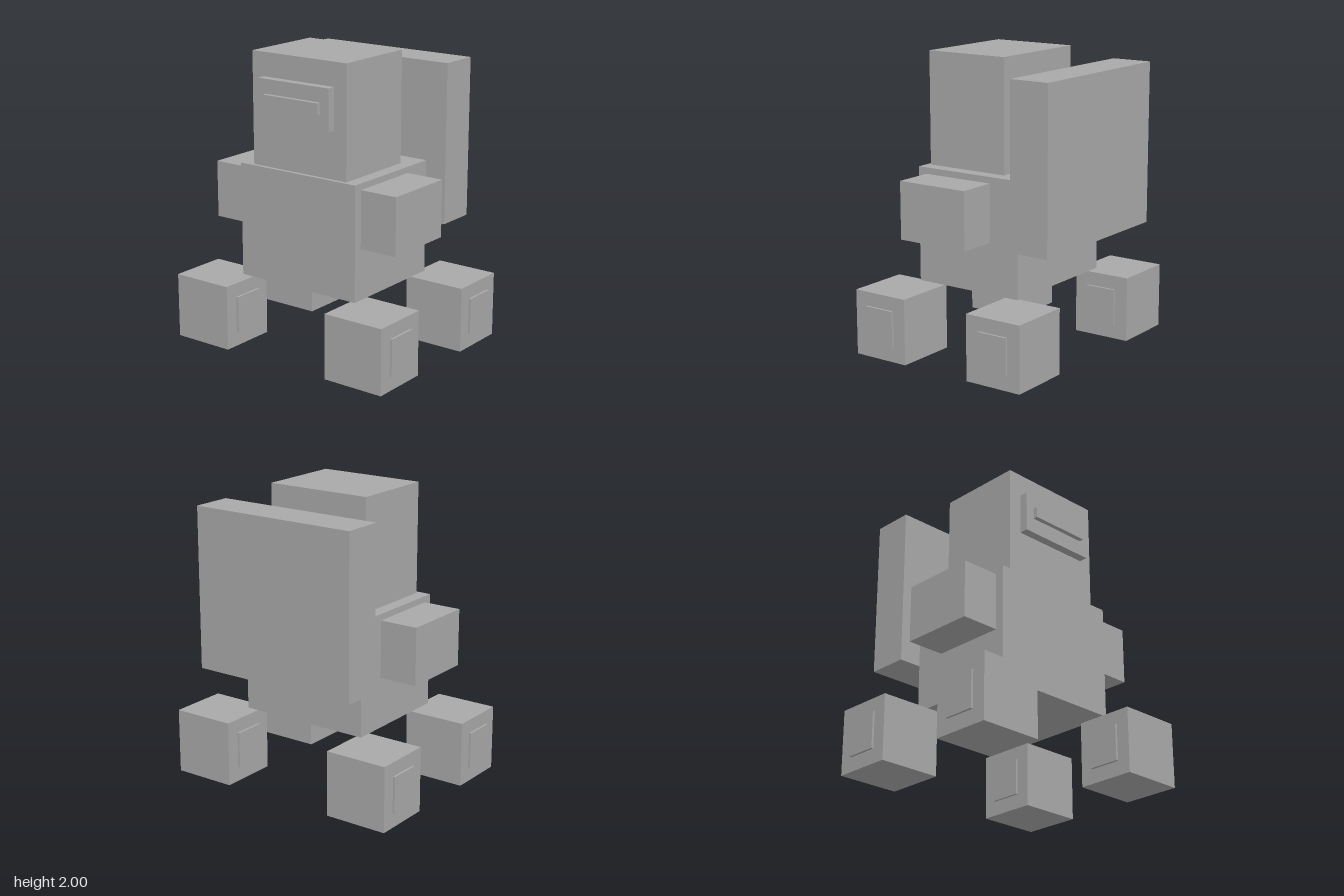
import * as THREE from 'three';

export function createModel() {
  const model = new THREE.Group();
  const grey = new THREE.MeshStandardMaterial({ color: 0xa8a8a8 });
  grey.name = 'grey';

  // Box given by its lower and upper limits on each axis
  function addBox(name, [x0, x1], [y0, y1], [z0, z1]) {
    const mesh = new THREE.Mesh(new THREE.BoxGeometry(x1 - x0, y1 - y0, z1 - z0), grey);
    mesh.position.set((x0 + x1) / 2, (y0 + y1) / 2, (z0 + z1) / 2);
    mesh.name = name;
    model.add(mesh);
  }

  // Limits on x, mirrored for the right side
  const onSide = (side, a, b) => (side > 0 ? [a, b] : [-b, -a]);

  // Torso, head and face
  addBox('torso', [-0.47, 0.47], [0.46, 1.24], [-0.36, 0.438]);
  addBox('head', [-0.38, 0.38], [1.24, 2], [-0.19, 0.41]);
  addBox('visor', [-0.285, 0.285], [1.56, 1.84], [0.41, 0.47]);
  addBox('visorBar', [-0.22, 0.22], [1.667, 1.743], [0.47, 0.502]);

  // Floating back panel
  addBox('backPanel', [-0.6, 0.6], [0.807, 1.905], [-0.677, -0.395]);

  for (const [label, side] of [['left', 1], ['right', -1]]) {
    addBox(label + 'Arm', onSide(side, 0.47, 0.74), [0.807, 1.197], [-0.143, 0.375]);

    // Block wheels with a hub running through each
    for (const [end, z] of [['Front', 0.472], ['Rear', -0.441]]) {
      addBox(label + end + 'Wheel', onSide(side, 0.41, 0.85), [0, 0.445], [z - 0.205, z + 0.205]);
      addBox(label + end + 'Hub', onSide(side, 0.394, 0.865), [0.1, 0.35], [z - 0.11, z + 0.11]);
    }
  }

  return model;
}
